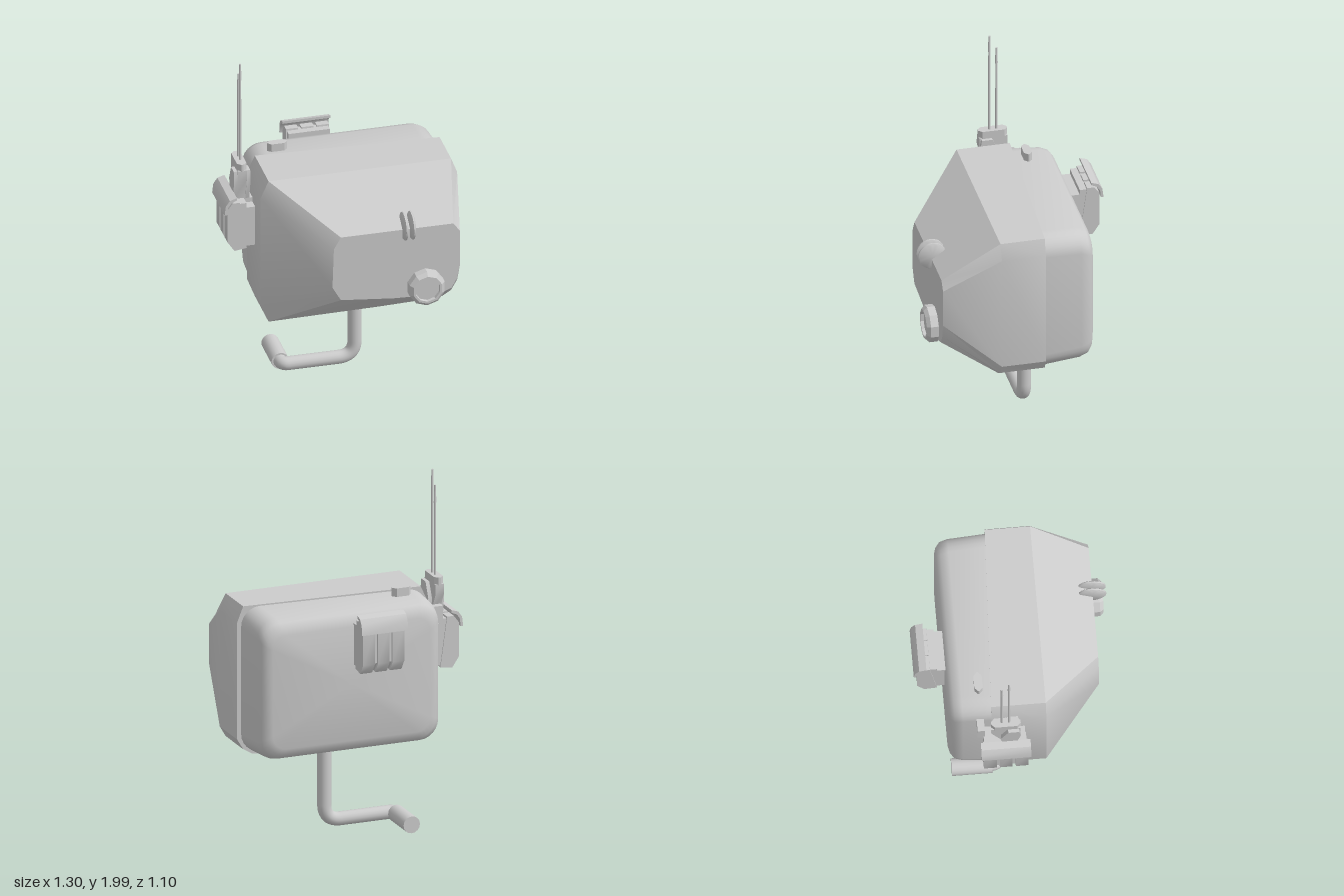
import * as THREE from 'three';
import { toCreasedNormals } from 'three/addons/utils/BufferGeometryUtils.js';

const material = new THREE.MeshStandardMaterial({ color: 0xcccccc, side: THREE.DoubleSide });

function add(parent, name, geometry, x = 0, y = 0, z = 0) {
  const mesh = new THREE.Mesh(geometry, material);
  mesh.name = name;
  mesh.position.set(x, y, z);
  parent.add(mesh);
  return mesh;
}

const crease = (geometry, angle = 0.6) =>
  toCreasedNormals(geometry.index ? geometry.toNonIndexed() : geometry, angle);

// Box given by its limits on each axis
function boxBetween(parent, name, [x0, x1], [y0, y1], [z0, z1]) {
  return add(parent, name, new THREE.BoxGeometry(x1 - x0, y1 - y0, z1 - z0),
    (x0 + x1) / 2, (y0 + y1) / 2, (z0 + z1) / 2);
}

// Skin over matching rings of points, ordered back to front, capped at both ends
function loft(rings, angle) {
  const verts = [];
  const tri = (...pts) => pts.forEach((p) => verts.push(p.x, p.y, p.z));
  const n = rings[0].length;
  const centre = (ring) =>
    ring.reduce((sum, p) => sum.add(p), new THREE.Vector3()).divideScalar(n);
  const back = rings[0], front = rings[rings.length - 1];
  const cb = centre(back), cf = centre(front);
  for (let j = 0; j < n; j++) {
    const k = (j + 1) % n;
    for (let i = 0; i < rings.length - 1; i++) {
      const a = rings[i], b = rings[i + 1];
      tri(a[j], a[k], b[k]);
      tri(a[j], b[k], b[j]);
    }
    tri(cb, back[k], back[j]);
    tri(cf, front[j], front[k]);
  }
  const geometry = new THREE.BufferGeometry();
  geometry.setAttribute('position', new THREE.Float32BufferAttribute(verts, 3));
  return toCreasedNormals(geometry, angle);
}

// Rounded rectangle ring, counter-clockwise seen from the front
function roundedRing(z, x0, x1, y0, y1, r, steps = 6) {
  const ring = [];
  const corners = [[x1 - r, y1 - r], [x0 + r, y1 - r], [x0 + r, y0 + r], [x1 - r, y0 + r]];
  corners.forEach(([cx, cy], q) => {
    for (let s = 0; s <= steps; s++) {
      const a = (q + s / steps) * Math.PI / 2;
      ring.push(new THREE.Vector3(cx + r * Math.cos(a), cy + r * Math.sin(a), z));
    }
  });
  return ring;
}

// Side profile of (outward, up) points, extruded across x and centred
function profileAcross(points, width) {
  const shape = new THREE.Shape(points.map(([u, v]) => new THREE.Vector2(u, v)));
  const geometry = new THREE.ExtrudeGeometry(shape, { depth: width, bevelEnabled: false });
  return crease(geometry.translate(0, 0, -width / 2).rotateY(-Math.PI / 2));
}

// Outline of (x, z) points, extruded upward
function plate(points, height) {
  const shape = new THREE.Shape(points.map(([x, z]) => new THREE.Vector2(x, -z)));
  return new THREE.ExtrudeGeometry(shape, { depth: height, bevelEnabled: false }).rotateX(-Math.PI / 2);
}

// Elongated octagon along x
const longOctagon = (hx, hz, c) => [[hx, -hz + c], [hx, hz - c], [hx - c, hz], [c - hx, hz],
  [-hx, hz - c], [-hx, c - hz], [c - hx, -hz], [hx - c, -hz]];

// Ribbed clip with a curved lip; outward is +z
function createClip(name) {
  const clip = new THREE.Group();
  clip.name = name;
  boxBetween(clip, 'clipNeck', [-0.115, 0.115], [1.04, 1.28], [-0.03, 0.08]);
  add(clip, 'clipPad', profileAcross([[0.04, 1.04], [0.1, 1.03], [0.135, 1.08],
    [0.135, 1.28], [0.11, 1.31], [0.04, 1.31]], 0.235));
  for (const x of [-0.088, 0, 0.088]) {
    add(clip, 'clipRib', profileAcross([[0.04, 1.03], [0.11, 1.02], [0.15, 1.08],
      [0.15, 1.28], [0.12, 1.32], [0.08, 1.32]], 0.07), x);
  }
  add(clip, 'clipLip', profileAcross([[0.1, 1.36], [0.14, 1.347], [0.163, 1.315], [0.17, 1.26],
    [0.155, 1.26], [0.15, 1.305], [0.132, 1.33], [0.1, 1.345]], 0.275));
  return clip;
}

export function createModel() {
  const model = new THREE.Group();
  model.name = 'wallUnit';

  // Rounded rear shell
  add(model, 'rearShell', loft([
    roundedRing(-0.378, -0.39, 0.55, 0.6, 1.26, 0.08),
    roundedRing(-0.368, -0.425, 0.58, 0.565, 1.295, 0.1),
    roundedRing(-0.345, -0.45, 0.605, 0.54, 1.325, 0.11),
    roundedRing(-0.3, -0.458, 0.613, 0.525, 1.342, 0.11),
    roundedRing(-0.1, -0.465, 0.622, 0.51, 1.352, 0.11),
    roundedRing(0, -0.465, 0.622, 0.51, 1.352, 0.11),
  ], 0.9));

  // Faceted front shell: outer outline tapering to a smaller front panel
  const outer = [[-0.43, 1.36], [-0.475, 1.26], [-0.475, 0.59], [-0.43, 0.475], [0.2, 0.483],
    [0.45, 0.49], [0.56, 0.5], [0.61, 0.53], [0.645, 0.59], [0.645, 1.27], [0.61, 1.36]];
  const panel = [[-0.1, 1.13], [-0.14, 1.06], [-0.148, 0.82], [-0.1, 0.735], [0.2, 0.705],
    [0.45, 0.695], [0.53, 0.725], [0.56, 0.78], [0.578, 0.86], [0.578, 1.08], [0.54, 1.13]];
  const ring = (points, zAt) => points.map(([x, y]) => new THREE.Vector3(x, y, zAt(x)));
  add(model, 'frontShell', loft([
    ring(outer, (x) => -0.121 + 0.049 * x),
    ring(outer, () => 0.16),
    ring(panel, () => 0.478),
  ], 0.5));

  // Front knob with a recessed centre
  const knobProfile = [[0, 0.062], [0.07, 0.062], [0.072, 0.08], [0.085, 0.08],
    [0.105, 0.06], [0.105, 0.015], [0.09, 0], [0.09, -0.03]].map(([r, h]) => new THREE.Vector2(r, h));
  const knob = add(model, 'frontKnob',
    crease(new THREE.LatheGeometry(knobProfile.reverse(), 10), 0.4), 0.38, 0.765, 0.462);
  knob.rotation.x = Math.PI / 2;

  // Pair of thin discs set into the upper front edge
  const discProfile = [[0, -0.009], [0.072, -0.009], [0.08, -0.004],
    [0.08, 0.004], [0.072, 0.009], [0, 0.009]].map(([r, h]) => new THREE.Vector2(r, h));
  for (const x of [0.26, 0.303]) {
    const disc = add(model, 'frontDisc',
      crease(new THREE.LatheGeometry(discProfile, 24)), x, 1.15, 0.473);
    disc.rotation.z = Math.PI / 2;
  }

  // Small button on top
  add(model, 'topButton', plate(longOctagon(0.056, 0.023, 0.02), 0.06), -0.288, 1.335, -0.203);

  // Crank: collar, bent arm and grip
  const bend = 0.095, armX = 0.125, armY = 0.055, armZ = -0.09;
  const v = (x, y, z = armZ) => new THREE.Vector3(x, y, z);
  const path = new THREE.CurvePath();
  path.add(new THREE.LineCurve3(v(armX, 0.54), v(armX, armY + bend)));
  path.add(new THREE.QuadraticBezierCurve3(v(armX, armY + bend), v(armX, armY), v(armX - bend, armY)));
  path.add(new THREE.LineCurve3(v(armX - bend, armY), v(-0.26, armY)));
  path.add(new THREE.QuadraticBezierCurve3(v(-0.26, armY), v(-0.29, armY), v(-0.29, armY, -0.14)));
  add(model, 'crankArm', new THREE.TubeGeometry(path, 90, 0.039, 16));
  add(model, 'crankCollar', crease(new THREE.CylinderGeometry(0.048, 0.048, 0.05, 16)), armX, 0.5, armZ);
  const grip = add(model, 'crankGrip',
    crease(new THREE.CylinderGeometry(0.049, 0.049, 0.225, 16)), -0.29, armY, -0.238);
  grip.rotation.x = Math.PI / 2;

  // Matching clips on the back and the right side
  const backClip = createClip('backClip');
  backClip.position.set(-0.0475, 0, -0.38);
  backClip.rotation.y = Math.PI;
  const sideClip = createClip('sideClip');
  sideClip.position.set(-0.485, -0.137, -0.075);
  sideClip.rotation.y = -Math.PI / 2;
  model.add(backClip, sideClip);

  // Antenna mount beside the right wall
  const mount = new THREE.Group();
  mount.name = 'antennaMount';
  model.add(mount);
  add(mount, 'mountBody', profileAcross([[-0.09, 1.05], [-0.02, 1.05], [-0.02, 1.2],
    [0.01, 1.3], [0.01, 1.36], [-0.15, 1.36], [-0.15, 1.3], [-0.1, 1.2]], 0.05), -0.54);
  for (const x of [-0.576, -0.504]) {
    add(mount, 'mountProng', profileAcross([[-0.09, 1.17], [-0.02, 1.17], [0.01, 1.3],
      [0, 1.355], [-0.06, 1.355], [-0.1, 1.27]], 0.022), x);
  }
  const cap = add(mount, 'mountCap', plate(longOctagon(0.082, 0.027, 0.02), 0.045), -0.54, 1.355, -0.07);
  cap.rotation.y = Math.PI / 2;
  boxBetween(mount, 'mountArm', [-0.54, -0.46], [1.08, 1.17], [-0.1, -0.02]);
  boxBetween(mount, 'mountLatch', [-0.53, -0.45], [1.16, 1.26], [-0.225, -0.185]);

  // Two thin antennas, each with a thicker tip
  for (const [z, top] of [[-0.052, 2], [-0.092, 1.92]]) {
    const height = top - 1.38;
    add(mount, 'antenna', new THREE.CylinderGeometry(0.006, 0.007, height, 8), -0.537, 1.38 + height / 2, z);
    add(mount, 'antennaTip', new THREE.CylinderGeometry(0.005, 0.008, 0.1, 8), -0.537, top - 0.05, z);
  }
  return model;
}
